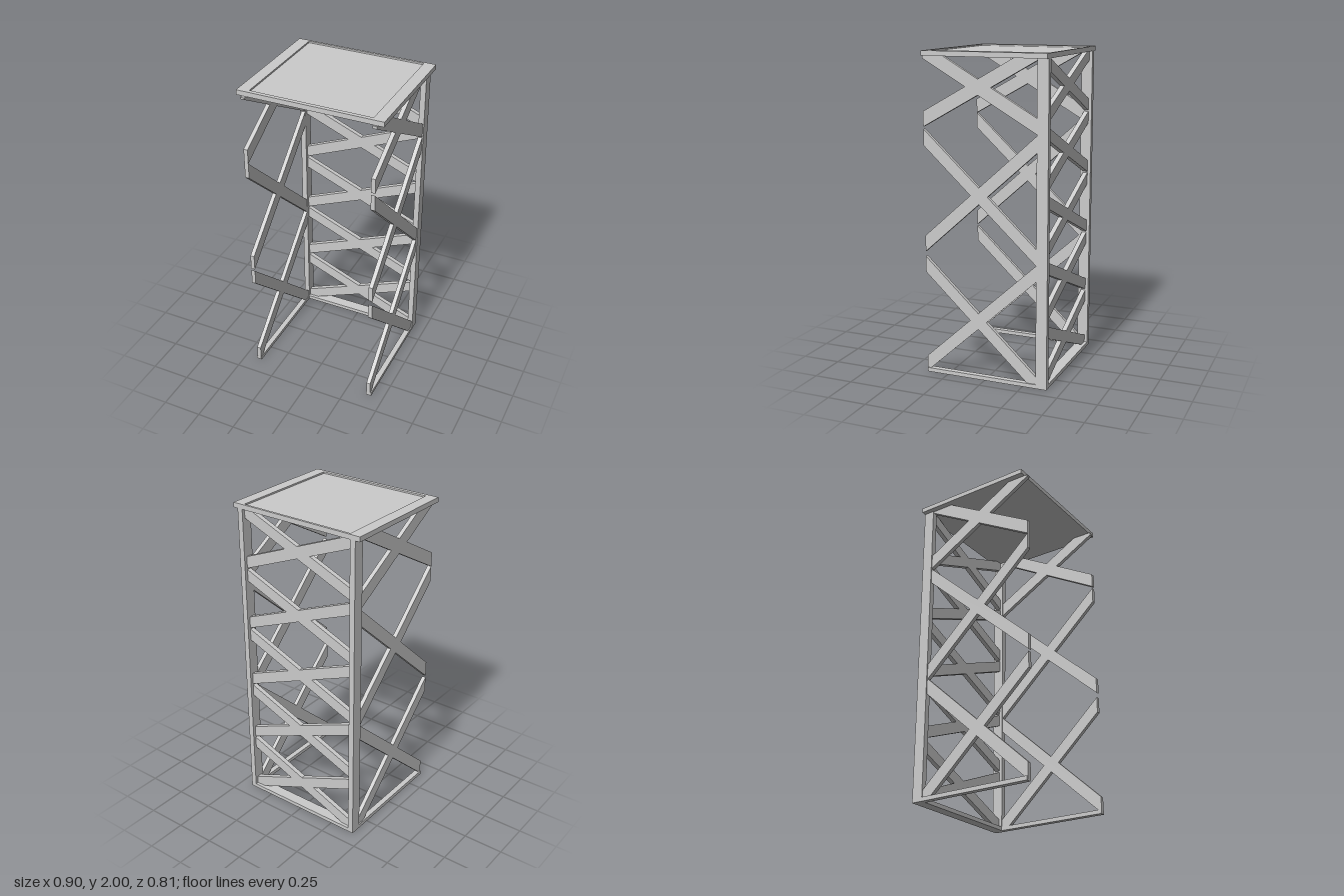
import * as THREE from 'three';

const material = new THREE.MeshStandardMaterial({ color: 0xcccccc, flatShading: true });

// Box given by its minimum and maximum corners.
function box(name, [x0, y0, z0], [x1, y1, z1]) {
  const mesh = new THREE.Mesh(new THREE.BoxGeometry(x1 - x0, y1 - y0, z1 - z0), material);
  mesh.name = name;
  mesh.position.set((x0 + x1) / 2, (y0 + y1) / 2, (z0 + z1) / 2);
  return mesh;
}

// Cut a polygon off above or below a level.
function clip(points, level, sign) {
  const out = [];
  points.forEach((a, i) => {
    const b = points[(i + 1) % points.length];
    const da = sign * (a.y - level), db = sign * (b.y - level);
    if (da >= 0) out.push(a);
    if (da * db < 0) out.push(a.clone().lerp(b, da / (da - db)));
  });
  return out;
}

// Diagonal strap with upright ends, from (u0, y0) to (u1, y1), kept between floor and ceiling.
function strapGeometry(u0, y0, u1, y1, height, depth, floor) {
  const h = height / 2;
  let points = [[u0, y0 - h], [u1, y1 - h], [u1, y1 + h], [u0, y0 + h]]
    .map(([u, y]) => new THREE.Vector2(u, y));
  points = clip(clip(points, floor, 1), 1.97, -1);
  return new THREE.ExtrudeGeometry(new THREE.Shape(points), { depth, bevelEnabled: false });
}

function createTop() {
  const top = new THREE.Group();
  top.name = 'top';
  // Rim around a slightly sunken panel
  const rim = new THREE.Shape([[-0.45, -0.38], [0.45, -0.38], [0.45, 0.405], [-0.45, 0.405]]
    .map(p => new THREE.Vector2(...p)));
  rim.holes.push(new THREE.Path([[-0.378, -0.355], [-0.378, 0.39], [0.378, 0.39], [0.378, -0.355]]
    .map(p => new THREE.Vector2(...p))));
  const geometry = new THREE.ExtrudeGeometry(rim, { depth: 0.03, bevelEnabled: false });
  geometry.rotateX(-Math.PI / 2);
  const mesh = new THREE.Mesh(geometry, material);
  mesh.name = 'topRim';
  mesh.position.y = 1.97;
  top.add(mesh, box('topPanel', [-0.378, 1.97, -0.39], [0.378, 1.99, 0.355]));
  return top;
}

function createSide(name, sign, front) {
  const side = new THREE.Group();
  side.name = name;
  const inner = Math.min(sign * 0.385, sign * 0.42);
  side.add(
    box('post', [inner, 0, -0.405], [inner + 0.035, 1.97, -0.335]),
    box('sideRail', [inner, 0, -0.335], [inner + 0.035, 0.025, 0.387])
  );
  // Each strap: height at z = 0.4, height at z = -0.335, strap height
  const straps = [
    [0.71, 0.02, 0.1], [0.045, 0.718, 0.1],
    [1.495, 0.812, 0.1], [0.822, 1.484, 0.1],
    [2.005, 1.585, 0.092], [1.59, 2.005, 0.092],
  ];
  straps.forEach(([yFront, yBack, height], i) => {
    const slope = (yFront - yBack) / 0.735;
    const end = i === 1 ? 0.39 : front;
    const at = z => yBack + slope * (z + 0.335);
    const geometry = strapGeometry(-0.36, at(-0.36), end, at(end), height, 0.026, 0);
    geometry.rotateY(-Math.PI / 2); // runs along z, thickness towards -x
    const strap = new THREE.Mesh(geometry, material);
    strap.name = 'sideStrap';
    strap.position.x = sign > 0 ? 0.413 : -0.387;
    side.add(strap);
  });
  return side;
}

function createBack() {
  const back = new THREE.Group();
  back.name = 'back';
  back.add(box('backRail', [-0.385, 0, -0.405], [0.385, 0.025, -0.335]));
  // Stack of five crosses between the posts
  const reach = 0.4, rise = 0.41 * reach;
  for (let i = 0; i < 5; i++) {
    const y = 0.195 + 0.399 * i;
    for (const s of [-1, 1]) {
      const geometry = strapGeometry(-reach, y - s * rise, reach, y + s * rise, 0.075, 0.03, 0.01);
      const strap = new THREE.Mesh(geometry, material);
      strap.name = 'backStrap';
      strap.position.z = -0.385;
      back.add(strap);
    }
  }
  return back;
}

export function createModel() {
  const model = new THREE.Group();
  model.name = 'bracedStand';
  model.add(
    createTop(),
    createBack(),
    createSide('leftSide', 1, 0.39),
    createSide('rightSide', -1, 0.4)
  );
  return model;
}
